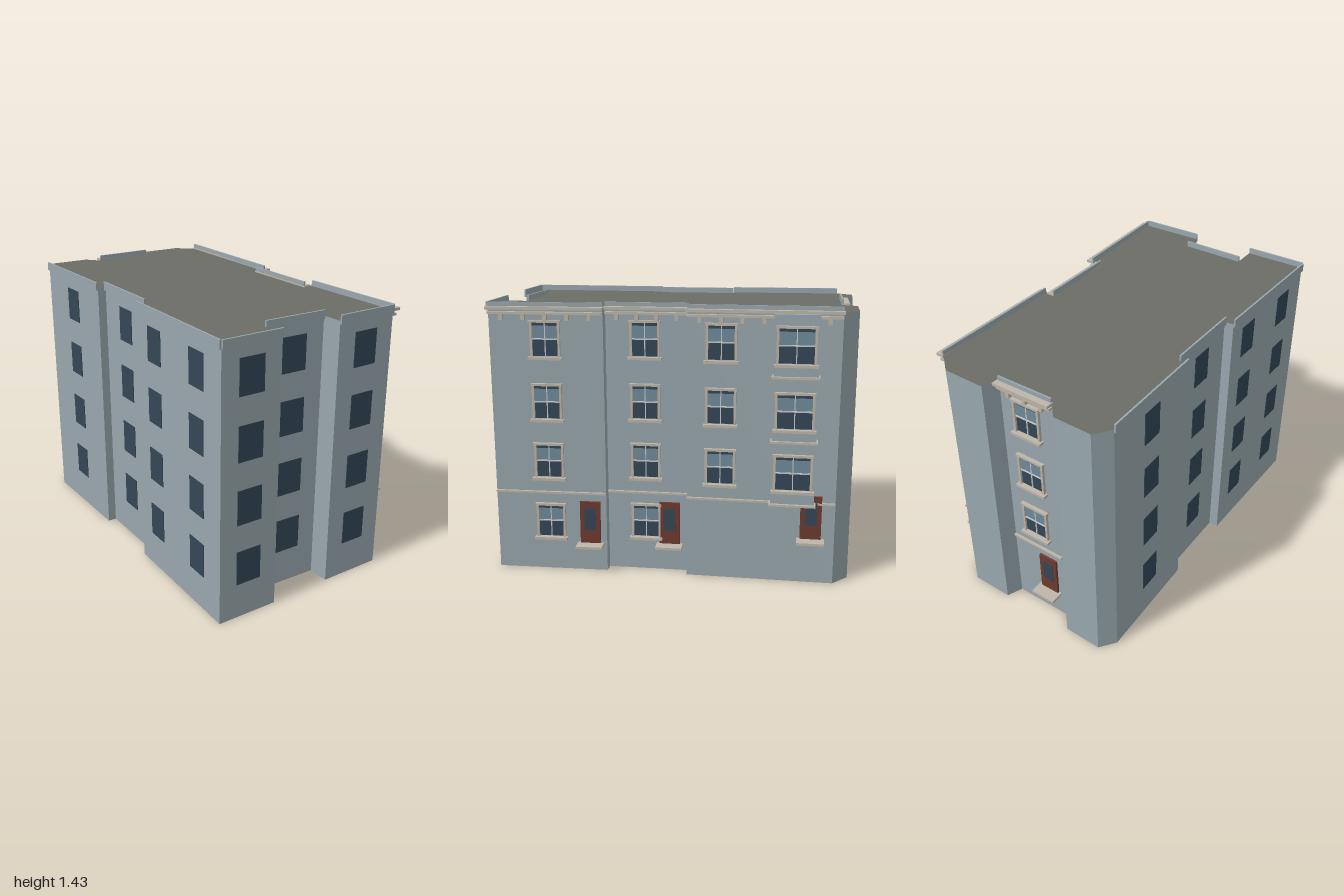
import * as THREE from 'three';

const mat = (color) => new THREE.MeshStandardMaterial({ color });
const M = {
  wall: mat(0x98a7ad), roof: mat(0x6b6d66), stone: mat(0xbdb5a8), white: mat(0xd8d8d4),
  glass: mat(0x334655), paleGlass: mat(0x708a9b), door: mat(0x6e3a30),
};
const WALL_TOP = 1.4;
const FLOORS = [0.175, 0.505, 0.82, 1.145];

// Footprint corners [x, z], starting at the front and running round by the right-hand side
const PLAN = [
  [-0.39, 0.99], [-0.065, 0.94], [-0.085, 0.81], [0.255, 0.765], [0.275, 0.875], [0.61, 0.82],
  [0.505, 0.24], [0.45, 0.248], [0.385, -0.175], [0.44, -0.182], [0.335, -0.935], [0.235, -1.0],
  [0.01, -0.97], [-0.012, -0.885], [-0.32, -0.84], [-0.395, -0.905], [-0.6, -0.88], [-0.65, -0.79],
  [-0.55, -0.19], [-0.505, -0.197], [-0.44, 0.232], [-0.49, 0.24],
];

// Box standing on a wall: x centre, y bottom, z back face
function box(parent, name, material, x, y, z, w, h, d) {
  const m = new THREE.Mesh(new THREE.BoxGeometry(w, h, d), material);
  m.position.set(x, y + h / 2, z + d / 2);
  m.name = name;
  parent.add(m);
  return m;
}

// Group whose x axis runs along wall i and whose z axis points outward
function facade(root, i, name) {
  const [ax, az] = PLAN[i], [bx, bz] = PLAN[(i + 1) % PLAN.length];
  const g = new THREE.Group();
  g.name = name;
  g.position.set(ax, 0, az);
  g.rotation.y = Math.atan2(az - bz, bx - ax);
  g.userData.length = Math.hypot(bx - ax, bz - az);
  root.add(g);
  return g;
}

function sashWindow(parent, x, y, w = 0.155, z = 0) {
  const g = new THREE.Group();
  g.name = 'sashWindow';
  g.position.set(x, y, z);
  parent.add(g);
  const h = 0.195, t = 0.012, iw = w - 2 * t;
  box(g, 'lowerGlass', M.glass, 0, t, 0, iw, 0.088, 0.004);
  box(g, 'upperGlass', M.paleGlass, 0, 0.1, 0, iw, h - 0.1 - t, 0.006);
  box(g, 'meetingRail', M.white, 0, 0.096, 0, iw, 0.007, 0.01);
  box(g, 'glazingBar', M.white, 0, t, 0, 0.005, h - 2 * t, 0.009);
  box(g, 'upperShade', M.glass, 0, h - t - 0.016, 0, iw, 0.016, 0.007);
  for (const s of [-1, 1]) box(g, 'jamb', M.stone, s * (w - t) / 2, 0, 0, t, h, 0.015);
  box(g, 'windowHead', M.stone, 0, h - t, 0, w + 0.008, t, 0.02);
  box(g, 'windowSill', M.stone, 0, -0.005, 0, w + 0.02, 0.014, 0.03);
}

function door(parent, x, y) {
  const g = new THREE.Group();
  g.name = 'door';
  g.position.set(x, y, 0);
  parent.add(g);
  box(g, 'doorLeaf', M.door, 0, 0, 0, 0.108, 0.23, 0.012);
  box(g, 'doorGlass', M.glass, 0, 0.075, 0.01, 0.06, 0.12, 0.005);
  box(g, 'doorStep', M.stone, 0, -0.012, 0, 0.14, 0.013, 0.075);
}

// Cornice with brackets and a string course above the ground floor
function trim(g, brackets) {
  const L = g.userData.length;
  box(g, 'cornice', M.stone, L / 2, 1.395, 0, L + 0.01, 0.014, 0.043);
  box(g, 'corniceBed', M.stone, L / 2, 1.37, 0, L, 0.012, 0.026);
  for (let i = 0; i < brackets; i++)
    box(g, 'bracket', M.stone, L * (i + 0.6) / (brackets + 0.2), 1.34, 0, 0.02, 0.03, 0.02);
  box(g, 'stringCourse', M.stone, L / 2, 0.425, 0, L, 0.01, 0.014);
}

function parapet(g) {
  const L = g.userData.length;
  box(g, 'parapet', M.wall, L / 2, 1.385, 0, L, 0.045, 0.01);
}

export function createModel() {
  const root = new THREE.Group();
  root.name = 'apartmentBuilding';

  // Main block with flat roof
  const shape = new THREE.Shape(PLAN.map(([x, z]) => new THREE.Vector2(x, -z)));
  const geo = new THREE.ExtrudeGeometry(shape, { depth: WALL_TOP, bevelEnabled: false });
  geo.rotateX(-Math.PI / 2);
  const body = new THREE.Mesh(geo, [M.roof, M.wall]);
  body.name = 'walls';
  root.add(body);

  // Front and left walls with plain windows: wall index, name, window centres, window width
  const plain = [
    [0, 'frontLeftBay', [0.5], 0.138], [2, 'frontCentre', [0.5], 0.142], [4, 'frontRightBay', [0.5], 0.138],
    [17, 'sideWallBack', [0.5], 0.125], [19, 'sideWallMiddle', [0.5], 0.125], [21, 'sideWallFront', [0.22, 0.73], 0.125],
  ];
  for (const [i, name, ts, w] of plain) {
    const g = facade(root, i, name);
    parapet(g);
    for (const t of ts) for (const y of [0.185, 0.507, 0.83, 1.15])
      box(g, 'plainWindow', M.glass, g.userData.length * t, y, 0, w, 0.18, 0.003);
  }

  // Dressed walls: index, name, window place, first floor with windows, door place, door height, brackets
  const dressed = [
    [5, 'streetWallFront', 0.495, 0, 0.853, 0.155, 5],
    [7, 'streetWallMiddle', 0.476, 0, 0.77, 0.15, 4],
    [9, 'streetWallBack', 0.225, 1, 0.84, 0.24, 7],
    [13, 'backEntranceWall', 0.5, 1, 0.7, 0.15, 3],
  ];
  for (const [i, name, tw, first, td, dy, n] of dressed) {
    const g = facade(root, i, name), L = g.userData.length;
    parapet(g);
    trim(g, n);
    for (const y of FLOORS.slice(first)) sashWindow(g, L * tw, y);
    door(g, L * td, dy);

    // Projecting bay on the rear part of the street wall
    if (i === 9) {
      const x = L * 0.712, d = 0.058;
      box(g, 'bay', M.wall, x, 0.44, 0, 0.22, 0.953, d);
      for (const y of [0.428, 0.755, 1.08]) box(g, 'bayLedge', M.stone, x, y, 0, 0.236, 0.011, d + 0.014);
      for (const y of FLOORS.slice(1)) sashWindow(g, x, y, 0.195, d);
    }
  }
  return root;
}
